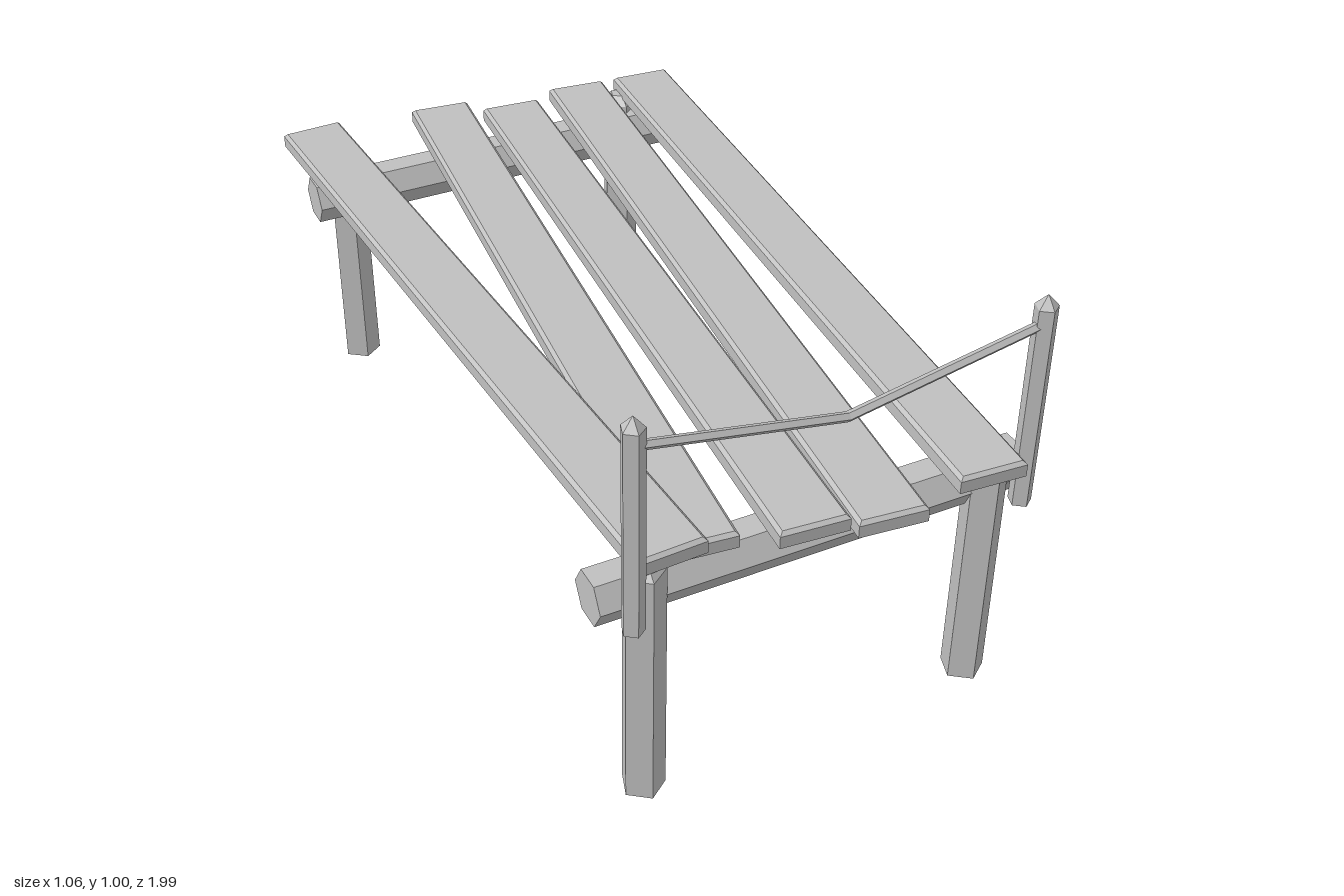
import * as THREE from 'three';

export function createModel() {
  const model = new THREE.Group();
  const wood = new THREE.MeshStandardMaterial({ color: 0xc0c0c0, flatShading: true, side: THREE.DoubleSide });
  wood.name = 'greyWood';

  const add = (name, geometry, x = 0, y = 0, z = 0) => {
    const mesh = new THREE.Mesh(geometry, wood);
    mesh.name = name;
    mesh.position.set(x, y, z);
    model.add(mesh);
    return mesh;
  };

  // Upright five-sided pole with a tapered tip
  const pole = (name, x, z, bottom, shoulder, top, rBottom, rShoulder, rTop) => {
    const h = shoulder - bottom;
    add(name, new THREE.CylinderGeometry(rShoulder, rBottom, h, 5), x, bottom + h / 2, z);
    const tip = top - shoulder;
    add(name + 'Tip', new THREE.CylinderGeometry(rTop, rShoulder, tip, 5, 1, rTop === 0), x, shoulder + tip / 2, z);
  };

  // Straight rod between two points
  const rod = (name, a, b, radius, sides) => {
    const dir = b.clone().sub(a);
    const mid = a.clone().add(b).multiplyScalar(0.5);
    const mesh = add(name, new THREE.CylinderGeometry(radius, radius, dir.length(), sides), mid.x, mid.y, mid.z);
    mesh.quaternion.setFromUnitVectors(new THREE.Vector3(0, 1, 0), dir.normalize());
  };

  // Plank shell: walls, bevelled rim and top, open underneath
  const plankGeometry = (width, length, height, bevel) => {
    const rings = [[0, 0], [height - bevel, 0], [height, bevel]];
    const positions = [];
    for (const [y, inset] of rings) {
      const w = width / 2 - inset, l = length / 2 - inset;
      positions.push(-w, y, l, w, y, l, w, y, -l, -w, y, -l);
    }
    const index = [];
    for (let r = 0; r < 2; r++) {
      for (let i = 0; i < 4; i++) {
        const a = r * 4 + i, b = r * 4 + (i + 1) % 4;
        index.push(a, b, b + 4, a, b + 4, a + 4);
      }
    }
    index.push(8, 9, 10, 8, 10, 11);
    const g = new THREE.BufferGeometry();
    g.setAttribute('position', new THREE.Float32BufferAttribute(positions, 3));
    g.setIndex(index);
    const flat = g.toNonIndexed();
    flat.computeVertexNormals();
    return flat;
  };

  // Legs and cross beams, front and back
  for (const [end, s] of [['front', 1], ['back', -1]]) {
    for (const x of [-0.411, 0.374]) {
      pole(end + 'Leg', x, s > 0 ? 0.877 : -0.874, 0, 0.582, 0.605, 0.048, 0.0465, 0.024);
    }
    rod(end + 'Beam', new THREE.Vector3(0.472, 0.514, s * 0.835), new THREE.Vector3(-0.509, 0.514, s * 0.835), 0.0583, 6);
  }

  // Crooked planks: back centre x, z, front centre x, z, underside height
  const planks = [
    [-0.454, -0.997, -0.362, 0.907, 0.597],
    [-0.103, -0.987, -0.294, 0.897, 0.586],
    [0.071, -0.913, -0.077, 0.95, 0.587],
    [0.28, -0.951, 0.08, 0.984, 0.58],
    [0.452, -0.907, 0.32, 0.971, 0.597],
  ];
  for (const [bx, bz, fx, fz, y] of planks) {
    const length = Math.hypot(fx - bx, fz - bz);
    const plank = add('plank', plankGeometry(0.152, length, 0.037, 0.008), (bx + fx) / 2, y, (bz + fz) / 2);
    plank.rotation.y = Math.atan2(fx - bx, fz - bz);
  }

  // Front posts and the sagging rope between them
  for (const x of [-0.46, 0.423]) pole('ropePost', x, 0.933, 0.494, 0.972, 1, 0.025, 0.025, 0);
  const sag = new THREE.Vector3(-0.017, 0.857, 0.94);
  for (const x of [-0.45, 0.415]) rod('rope', sag, new THREE.Vector3(x, 0.932, 0.934), 0.011, 5);

  return model;
}
